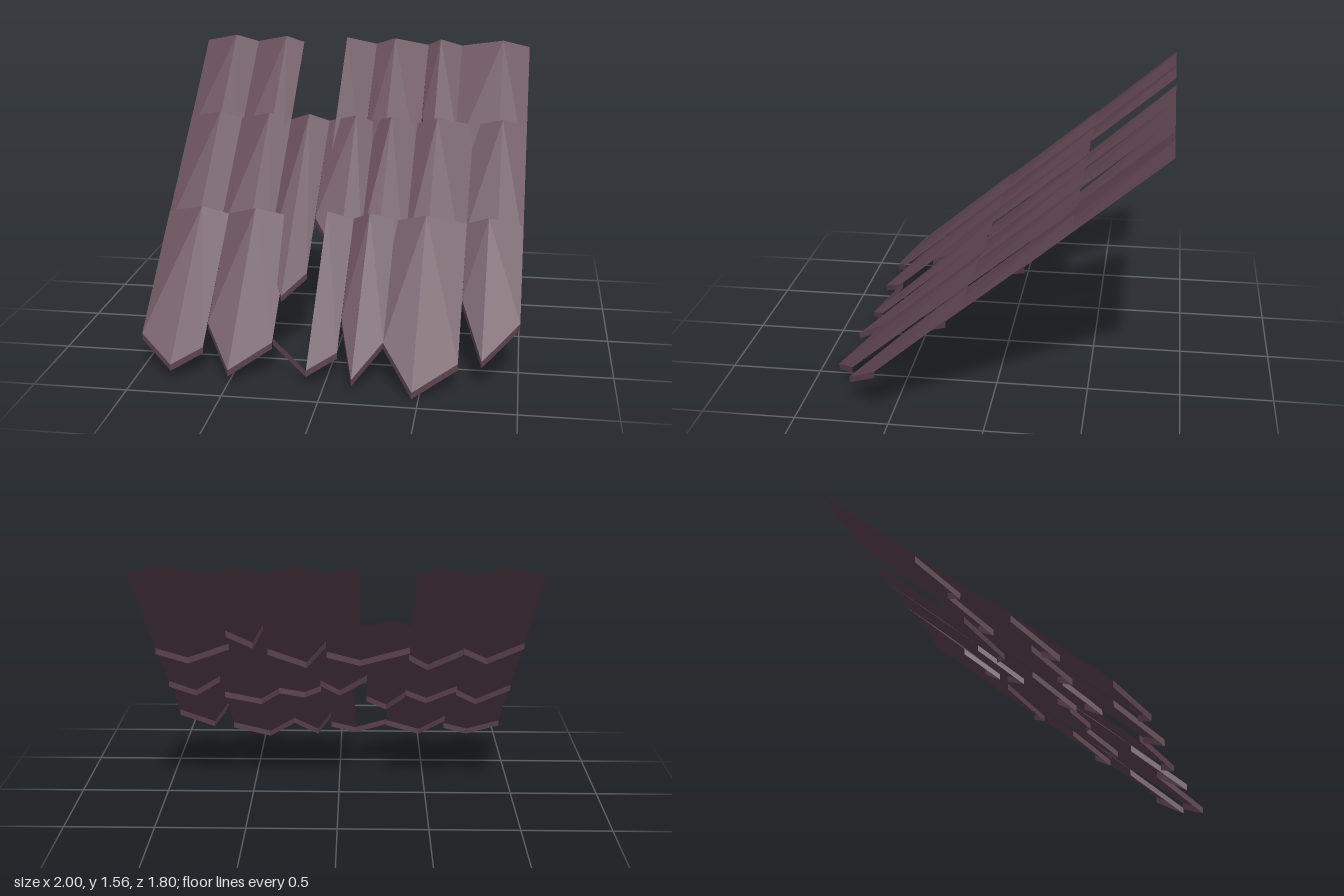
import * as THREE from 'three';

const shingleColor = new THREE.MeshStandardMaterial({ color: 0x5e4450, side: THREE.DoubleSide, flatShading: true });
shingleColor.name = 'dark plum shingle';

const LIP = 0.035; // height of the vertical lip under each pointed end
const SKEW = 1.54; // the left shoulder is cut back further than the right one

// Each course runs from x = -1 to x = 1. Its upper edge is at z = topZ, and its
// points end on a sloping line through (tipZ, tipY).
// Shingles, left to right: ridge x, right edge x, tip z, right shoulder cut
const courses = [
  {
    name: 'upperCourse', topZ: -0.9, valley: 1.52, tipZ: -0.03, tipY: 0.795, broken: 2,
    shingles: [
      [-0.82, -0.68, -0.11, 0.12],
      [-0.5, -0.39, -0.03, 0.12],
      [-0.12, 0.065, -0.08, 0.1],
      [0.18, 0.385, -0.05, 0.16],
      [0.46, 0.59, -0.28, 0.135],
      [0.84, 1, -0.1, 0.11],
    ],
  },
  {
    name: 'middleCourse', topZ: -0.435, valley: 1.13, tipZ: 0.5, tipY: 0.367,
    shingles: [
      [-0.82, -0.69, 0.41, 0.13],
      [-0.52, -0.39, 0.4, 0.11],
      [-0.28, -0.16, 0.5, 0.12],
      [0, 0.11, 0.3, 0.135],
      [0.21, 0.36, 0.33, 0.06],
      [0.48, 0.69, 0.43, 0.1],
      [0.86, 1, 0.31, 0.125],
    ],
  },
  {
    name: 'lowerCourse', topZ: 0.1, valley: 0.695, tipZ: 0.9, tipY: 0.035, broken: 2,
    shingles: [
      [-0.81, -0.655, 0.84, 0.09],
      [-0.5, -0.29, 0.85, 0.14],
      [-0.09, 0.06, 0.83, 0.09],
      [0.15, 0.295, 0.86, 0.18],
      [0.465, 0.69, 0.9, 0.14],
      [0.81, 1, 0.745, 0.185],
    ],
  },
];

// Ridged sheet with a pointed lower end and a lip hanging from that end;
// a broken shingle has lost the sheet left of its ridge
function shingleGeometry(course, left, [ridge, right, tip, cut], broken) {
  const xs = [left, ridge, right];
  const zs = [tip - cut * SKEW, tip, tip - cut];
  const top = xs.map((x, i) => [x, course.valley + (i === 1 ? 0.036 : 0), course.topZ]);
  const end = xs.map((x, i) => [x, course.tipY + 0.79 * (course.tipZ - zs[i]), zs[i]]);
  const lip = end.map(([x, y, z]) => [x, y - LIP, z]);
  const positions = [];
  const quad = (a, b, c, d) => positions.push(...a, ...b, ...c, ...a, ...c, ...d);
  if (!broken) quad(top[1], top[0], end[0], end[1]);
  quad(top[1], end[1], end[2], top[2]);
  for (let i = 0; i < 2; i++) quad(end[i], lip[i], lip[i + 1], end[i + 1]);
  const geometry = new THREE.BufferGeometry();
  geometry.setAttribute('position', new THREE.Float32BufferAttribute(positions, 3));
  geometry.computeVertexNormals();
  return geometry;
}

export function createModel() {
  const model = new THREE.Group();
  model.name = 'shingleRoofSection';
  for (const course of courses) {
    const group = new THREE.Group();
    group.name = course.name;
    let left = -1;
    course.shingles.forEach((shingle, i) => {
      const geometry = shingleGeometry(course, left, shingle, i === course.broken);
      const mesh = new THREE.Mesh(geometry, shingleColor);
      mesh.name = `shingle${i + 1}`;
      group.add(mesh);
      left = shingle[1];
    });
    model.add(group);
  }
  return model;
}
